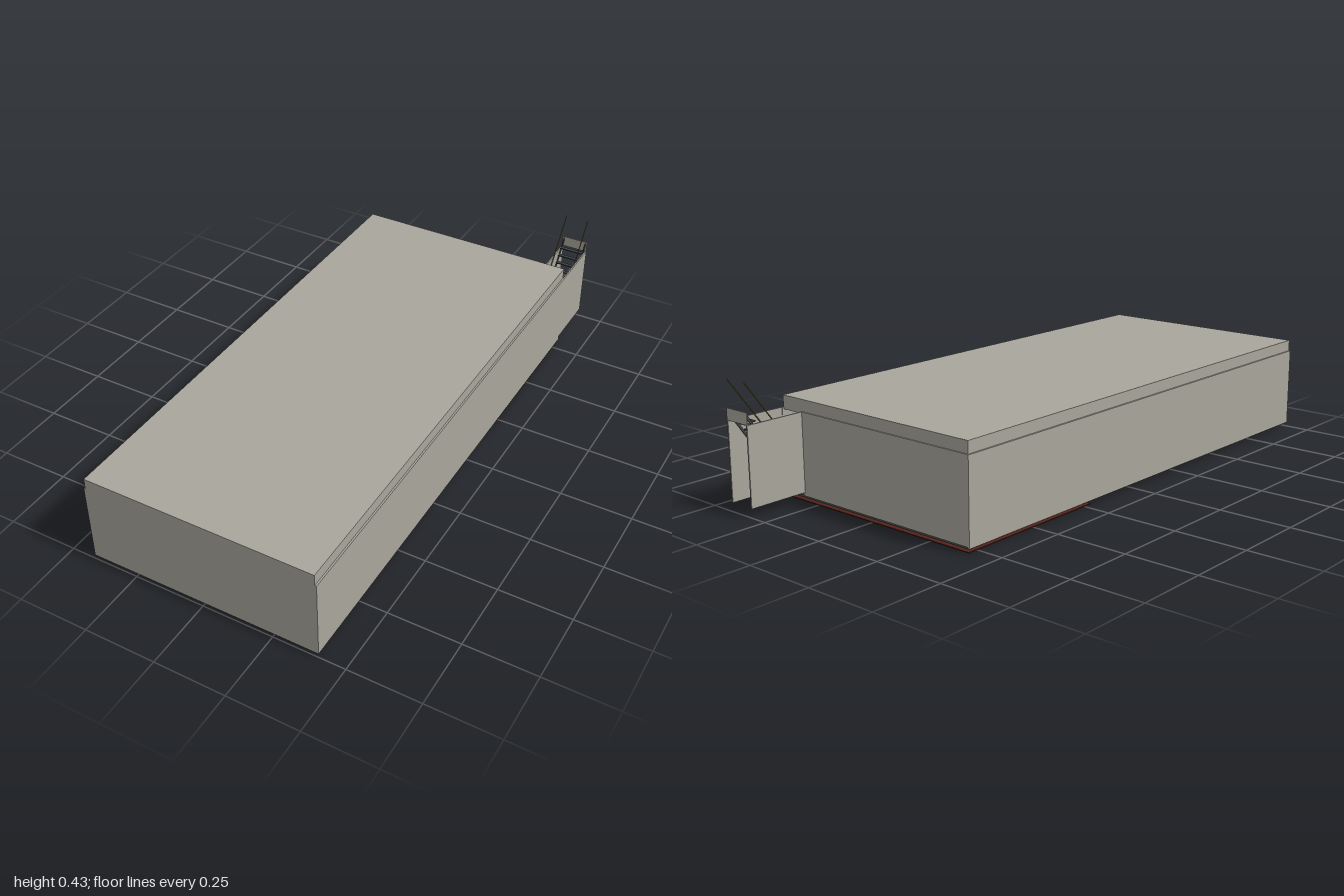
import * as THREE from 'three';

export function createModel() {
  const model = new THREE.Group();
  const material = (name, color) => {
    const m = new THREE.MeshStandardMaterial({ color });
    m.name = name;
    return m;
  };
  const concrete = material('concrete', 0xa9a59c);
  const darkFloor = material('dark floor', 0x454a49);
  const redFloor = material('red brown floor', 0x52221a);
  const steel = material('dark steel', 0x3c4244);
  const bronze = material('bronze rail', 0x6b5a2a);

  // Box given by its lower and upper limits on each axis
  const block = (name, mat, [x0, x1], [y0, y1], [z0, z1], parent = model) => {
    const mesh = new THREE.Mesh(new THREE.BoxGeometry(x1 - x0, y1 - y0, z1 - z0), mat);
    mesh.position.set((x0 + x1) / 2, (y0 + y1) / 2, (z0 + z1) / 2);
    mesh.name = name;
    parent.add(mesh);
    return mesh;
  };

  // Roof slab, slightly inset from the side walls
  block('roof', concrete, [-0.405, 0.403], [0.29, 0.337], [-0.784, 1]);

  // Thin outer walls
  const wallY = [0.015, 0.297];
  block('leftWall', concrete, [0.402, 0.409], wallY, [-0.79, 1]);
  block('rightWall', concrete, [-0.411, -0.404], wallY, [-0.79, 1]);
  block('frontWall', concrete, [-0.404, 0.402], wallY, [0.993, 1]);
  block('backWall', concrete, [-0.404, 0.316], [0.018, 0.297], [-0.788, -0.782]);

  // Floor panels and the lower floor at the back
  const seams = [-0.785, -0.22, 0.265, 0.65, 0.997];
  for (let i = 0; i < 4; i++) {
    block('floorPanel', darkFloor, [-0.405, 0.403], [0.011, 0.019], [seams[i], seams[i + 1] - 0.001]);
  }
  block('lowerFloor', redFloor, [-0.405, 0.403], [0, 0.003], [-0.787, -0.22]);

  // Stairwell: two side panels and a beam across the top end
  const stairs = new THREE.Group();
  stairs.name = 'stairwell';
  model.add(stairs);
  block('outerPanel', concrete, [0.404, 0.409], [0.03, 0.297], [-1, -0.79], stairs);
  block('innerPanel', concrete, [0.31, 0.315], [0.03, 0.297], [-1, -0.782], stairs);
  block('endBeam', concrete, [0.31, 0.409], [0.297, 0.337], [-1, -0.997], stairs);

  // Open treads going down towards the building
  const count = 12, rise = 0.0235, run = 0.0165;
  for (let i = 0; i < count; i++) {
    const y = 0.305 - i * rise, z = -0.976 + i * run;
    block('tread', steel, [0.317, 0.402], [y - 0.004, y], [z, z + 0.014], stairs);
  }

  // Sloping stringers beside the treads
  const profile = new THREE.Shape([
    [1, 0.337], [0.785, 0.03], [0.795, 0.03], [1, 0.322],
  ].map(([u, v]) => new THREE.Vector2(u, v)));
  for (const x of [0.315, 0.401]) {
    const geometry = new THREE.ExtrudeGeometry(profile, { depth: 0.003, bevelEnabled: false });
    geometry.rotateY(Math.PI / 2); // profile runs along -z
    const stringer = new THREE.Mesh(geometry, steel);
    stringer.position.x = x;
    stringer.name = 'stringer';
    stairs.add(stringer);
  }

  // Thin sloping handrails
  for (const x of [0.317, 0.402]) {
    const path = new THREE.LineCurve3(
      new THREE.Vector3(x, 0.43, -0.998), new THREE.Vector3(x, 0.14, -0.785));
    const rail = new THREE.Mesh(new THREE.TubeGeometry(path, 1, 0.002, 6), bronze);
    rail.name = 'handrail';
    stairs.add(rail);
  }
  return model;
}
